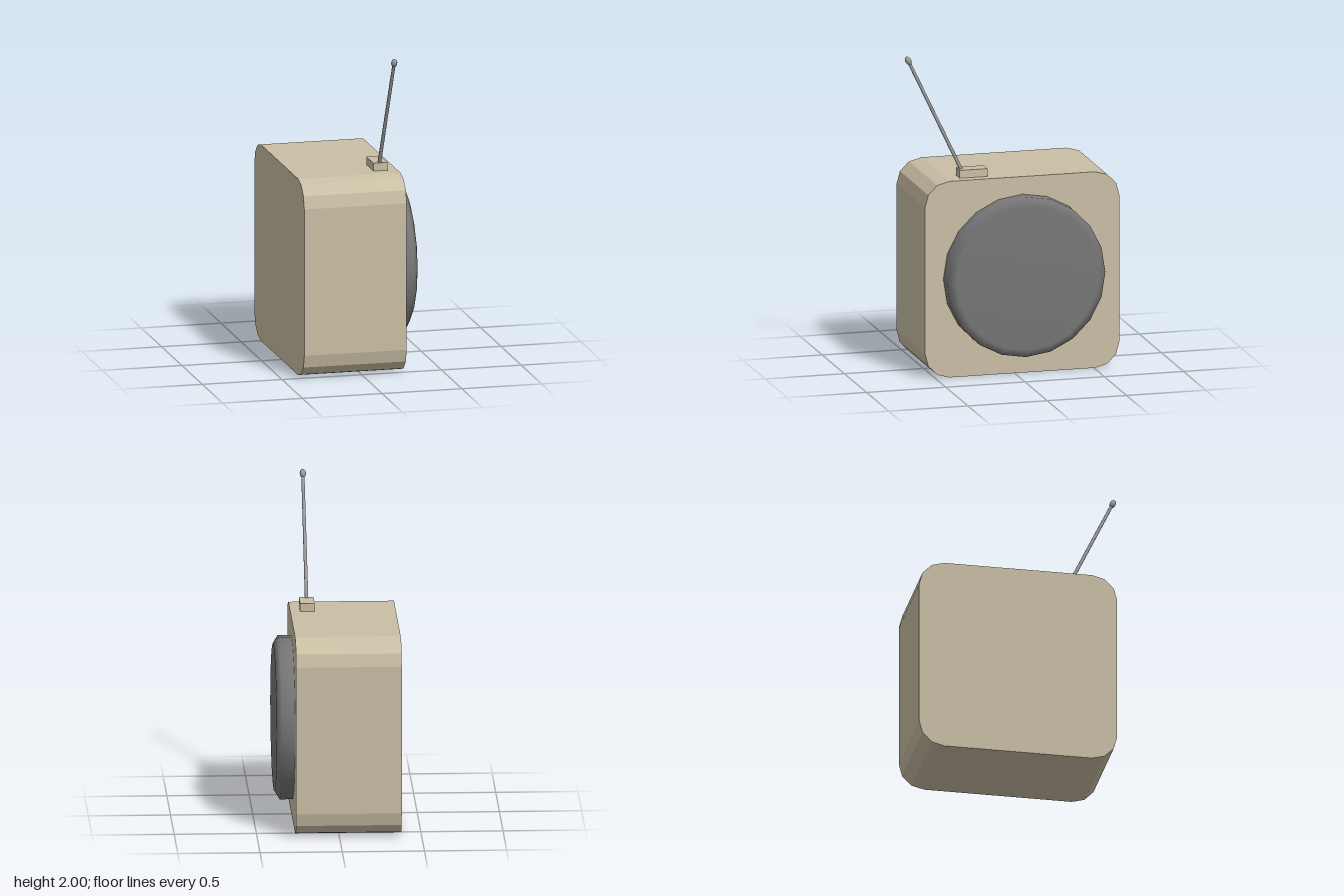
import * as THREE from 'three';

const tan = new THREE.MeshStandardMaterial({ color: 0xcabfa5, flatShading: true });
const dark = new THREE.MeshStandardMaterial({ color: 0x777777 });
const metal = new THREE.MeshStandardMaterial({ color: 0xa0a0a0 });

function add(group, name, geometry, material) {
  const mesh = new THREE.Mesh(geometry, material);
  mesh.name = name;
  group.add(mesh);
  return mesh;
}

// Rectangle with faceted round corners, centred on the origin
function roundedSquare(w, h, r, segments) {
  const points = [];
  for (let corner = 0; corner < 4; corner++) {
    const cx = (w / 2 - r) * (corner === 0 || corner === 3 ? 1 : -1);
    const cy = (h / 2 - r) * (corner < 2 ? 1 : -1);
    for (let i = 0; i <= segments; i++) {
      const a = (corner + i / segments) * Math.PI / 2;
      points.push(new THREE.Vector2(cx + r * Math.cos(a), cy + r * Math.sin(a)));
    }
  }
  return new THREE.Shape(points);
}

export function createModel() {
  const model = new THREE.Group();
  model.name = 'radio';

  // Cabinet, extruded along x
  const cabinet = new THREE.ExtrudeGeometry(roundedSquare(1.226, 1.226, 0.155, 3), { depth: 0.642, bevelEnabled: false });
  cabinet.rotateY(Math.PI / 2);
  add(model, 'cabinet', cabinet, tan).position.set(-0.377, 0.613, -0.048);

  // Round speaker with a softened rim on the +x face
  const profile = [[0.5, -0.02], [0.5, 0.08], [0.45, 0.111], [0, 0.111]].map(p => new THREE.Vector2(...p));
  const speaker = new THREE.LatheGeometry(profile, 20);
  speaker.rotateZ(-Math.PI / 2);
  add(model, 'speaker', speaker, dark).position.set(0.265, 0.616, -0.05);

  // Antenna mount on the top
  add(model, 'antennaMount', new THREE.BoxGeometry(0.088, 0.06, 0.176), tan).position.set(0.161, 1.245, 0.242);

  // Leaning antenna with a rounded tip
  const start = new THREE.Vector3(0.159, 1.26, 0.303);
  const end = new THREE.Vector3(0.167, 1.977, 0.646);
  const length = start.distanceTo(end);
  const antenna = new THREE.Group();
  antenna.name = 'antenna';
  antenna.position.copy(start);
  antenna.quaternion.setFromUnitVectors(new THREE.Vector3(0, 1, 0), end.clone().sub(start).normalize());
  add(antenna, 'antennaRod', new THREE.CylinderGeometry(0.01, 0.011, length, 10), metal).position.y = length / 2;
  const tip = add(antenna, 'antennaTip', new THREE.SphereGeometry(0.019, 10, 8), metal);
  tip.position.y = length - 0.005;
  tip.scale.y = 1.45;
  model.add(antenna);

  return model;
}
